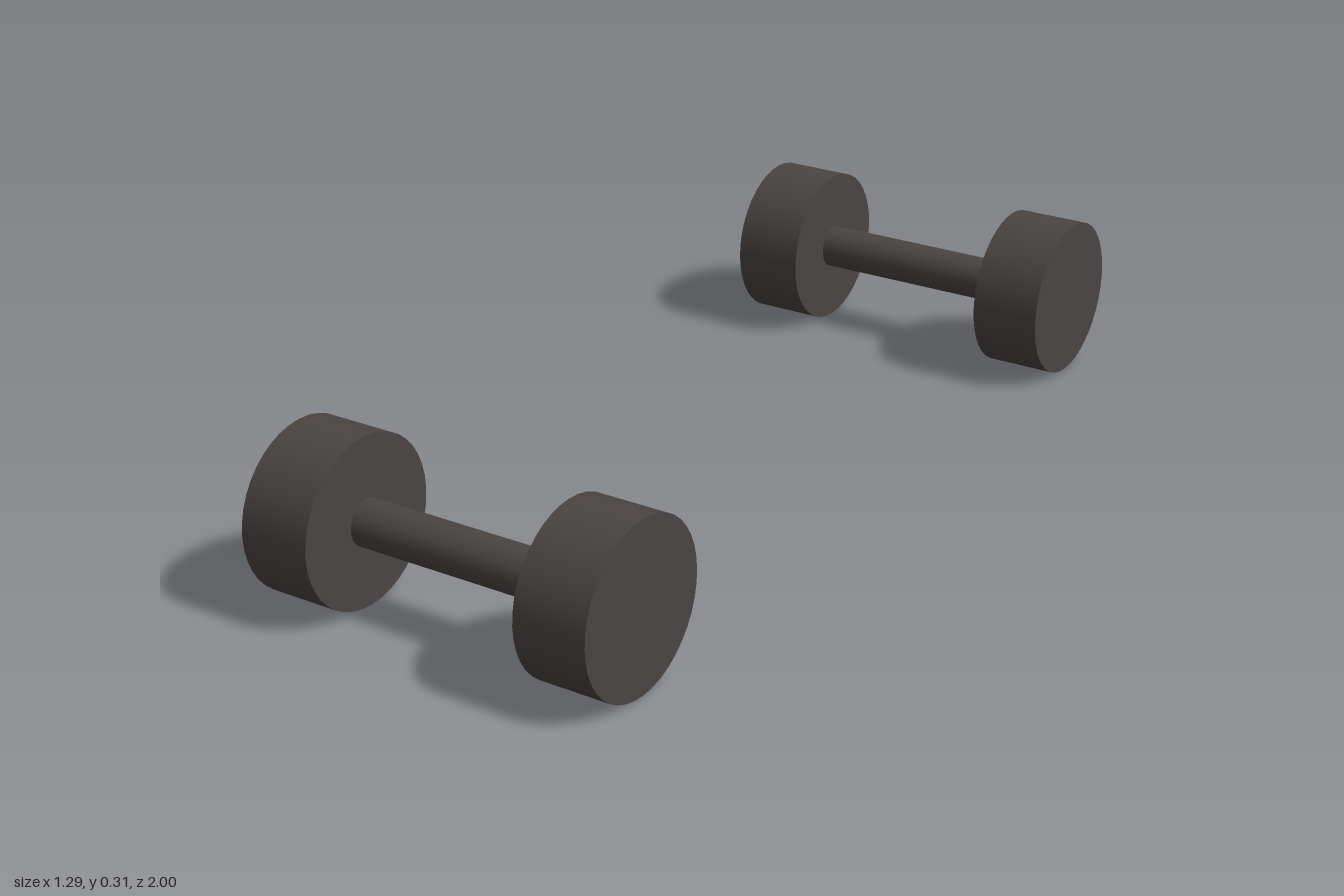
import * as THREE from 'three';

const HEAD_RADIUS = 0.157;
const HEAD_WIDTH = 0.138;
const HEAD_OFFSET = 0.28; // centre of each head along the bar
const BAR_RADIUS = 0.043;

export function createModel() {
  const model = new THREE.Group();
  model.name = 'dumbbellPair';

  const darkIron = new THREE.MeshStandardMaterial({ color: 0x4a4543 });
  darkIron.name = 'darkIron';

  // Cylinders lying along x
  const headGeometry = new THREE.CylinderGeometry(HEAD_RADIUS, HEAD_RADIUS, HEAD_WIDTH, 40).rotateZ(Math.PI / 2);
  const barGeometry = new THREE.CylinderGeometry(BAR_RADIUS, BAR_RADIUS, HEAD_OFFSET * 2, 32).rotateZ(Math.PI / 2);

  function addPart(parent, geometry, name, x) {
    const mesh = new THREE.Mesh(geometry, darkIron);
    mesh.name = name;
    mesh.position.x = x;
    parent.add(mesh);
  }

  // Two parallel dumbbells, turned slightly and set diagonally apart
  for (const [name, side] of [['frontDumbbell', 1], ['backDumbbell', -1]]) {
    const dumbbell = new THREE.Group();
    dumbbell.name = name;
    addPart(dumbbell, barGeometry, 'bar', 0);
    addPart(dumbbell, headGeometry, 'leftHead', HEAD_OFFSET);
    addPart(dumbbell, headGeometry, 'rightHead', -HEAD_OFFSET);
    dumbbell.position.set(-0.264 * side, HEAD_RADIUS, 0.733 * side);
    dumbbell.rotation.y = THREE.MathUtils.degToRad(-20);
    model.add(dumbbell);
  }

  return model;
}
